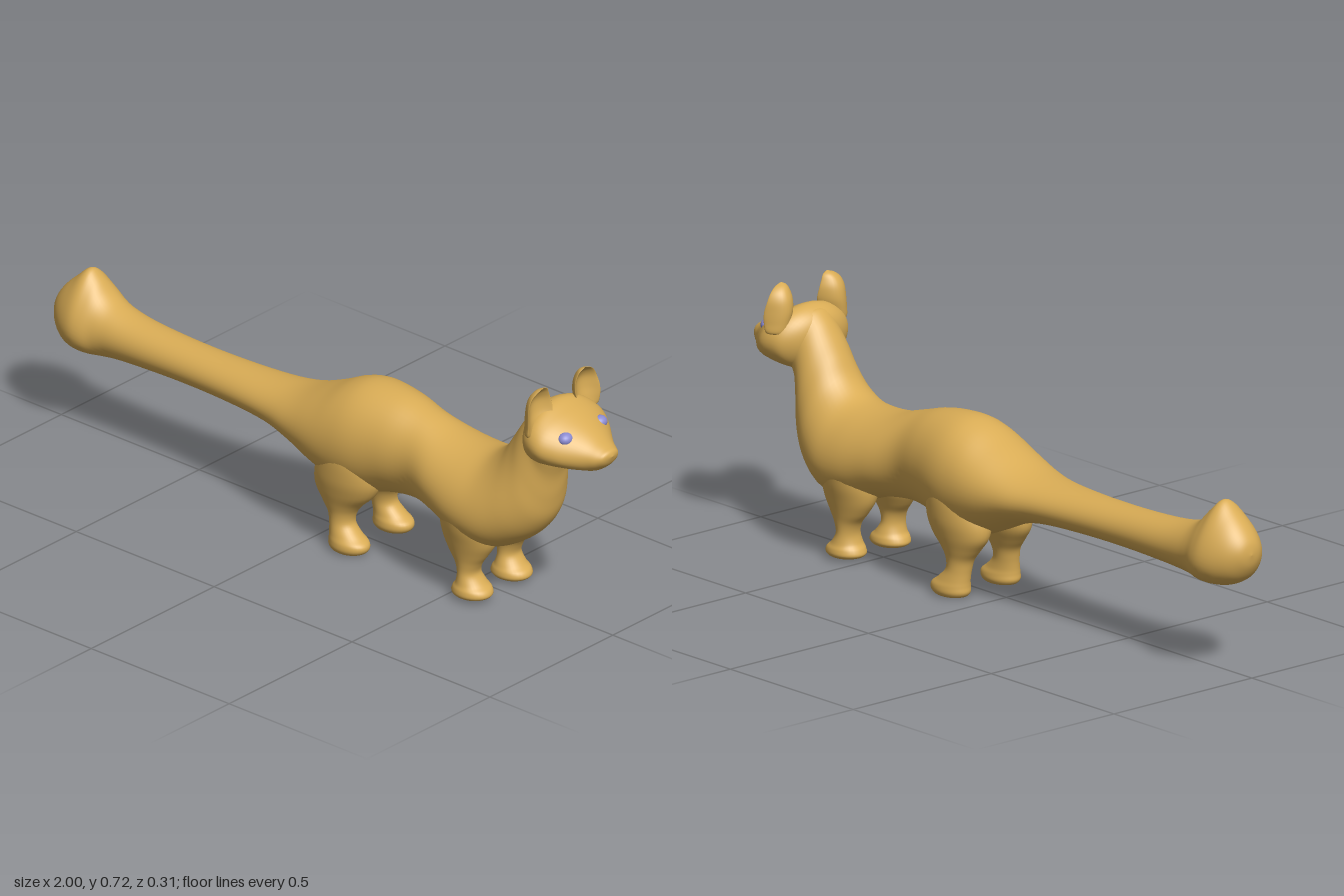
import * as THREE from 'three';

const fur = new THREE.MeshStandardMaterial({ color: 0xd9ac55 });
const eyeBlue = new THREE.MeshStandardMaterial({ color: 0x8c8cd2 });

// Catmull-Rom blend of table rows, column by column
function rowAt(rows, t) {
  const f = t * (rows.length - 1), i = Math.min(Math.floor(f), rows.length - 2), u = f - i;
  const at = k => rows[Math.max(0, Math.min(rows.length - 1, k))];
  return rows[0].map((_, c) => {
    const [a, b, d, e] = [at(i - 1)[c], at(i)[c], at(i + 1)[c], at(i + 2)[c]];
    return b + 0.5 * u * (d - a + u * (2 * a - 5 * b + 4 * d - e + u * (3 * (b - d) + e - a)));
  });
}

// Smooth closed skin through cross-sections; ring(row, cos, sin) gives a point
function loft(name, rows, ring, sides = 40, perRow = 5) {
  const n = (rows.length - 1) * perRow, pos = [], index = [];
  for (let i = 0; i <= n; i++) {
    const row = rowAt(rows, i / n);
    for (let j = 0; j < sides; j++) {
      const a = (j / sides) * Math.PI * 2;
      pos.push(...ring(row, Math.cos(a), Math.sin(a)));
    }
  }
  for (let i = 0; i < n; i++) for (let j = 0; j < sides; j++) {
    const k = (j + 1) % sides, a = i * sides + j, b = i * sides + k;
    index.push(a, b, b + sides, a, b + sides, a + sides);
  }
  // Turn faces outward according to the signed volume
  let volume = 0;
  const p = k => new THREE.Vector3().fromArray(pos, k * 3);
  for (let k = 0; k < index.length; k += 3)
    volume += p(index[k]).dot(p(index[k + 1]).cross(p(index[k + 2])));
  if (volume < 0) index.reverse();
  const geo = new THREE.BufferGeometry();
  geo.setAttribute('position', new THREE.Float32BufferAttribute(pos, 3));
  geo.setIndex(index);
  geo.computeVertexNormals();
  const mesh = new THREE.Mesh(geo, fur);
  mesh.name = name;
  return mesh;
}

// Section across the spine: top x, top y, bottom x, bottom y, half width, taper to the top
const spineRing = ([tx, ty, bx, by, w, p], c, s) => [
  (tx + bx) / 2 + c * (tx - bx) / 2,
  (ty + by) / 2 + c * (ty - by) / 2,
  Math.max(w, 0) * s * (1 - p * c),
];

const tailRows = [
  [-1, .35, -1, .35, 0, 0],
  [-.992, .385, -.992, .313, .035, 0],
  [-.967, .42, -.967, .275, .066, .1],
  [-.93, .455, -.93, .254, .088, .25],
  [-.892, .485, -.89, .247, .096, .4],
  [-.86, .462, -.85, .247, .094, .35],
  [-.82, .42, -.81, .249, .084, .1],
  [-.77, .398, -.77, .253, .077, 0],
  [-.68, .384, -.68, .259, .072, 0],
  [-.52, .376, -.52, .264, .07, 0],
  [-.35, .375, -.35, .264, .078, 0],
  [-.2, .38, -.2, .258, .096, 0],
];
const torsoRows = [
  [-.1, .396, -.1, .238, .12, 0],
  [0, .436, 0, .195, .142, 0],
  [.08, .475, .08, .165, .149, 0],
  [.15, .49, .16, .168, .146, 0],
  [.25, .482, .25, .193, .127, 0],
  [.34, .457, .34, .202, .114, 0],
  [.43, .432, .44, .192, .137, .05],
  [.52, .425, .53, .165, .152, .1],
  [.59, .436, .63, .162, .15, .15],
  [.642, .475, .715, .21, .13, .15],
  [.677, .53, .768, .275, .108, .1],
  [.708, .578, .786, .345, .094, 0],
  [.74, .62, .795, .415, .084, 0],
  [.775, .645, .815, .485, .08, 0],
  [.8, .6, .81, .54, 0, 0],
];
const headRows = [
  [.735, .56, .735, .55, 0, 0],
  [.745, .615, .755, .505, .07, 0],
  [.77, .645, .785, .478, .118, .03],
  [.805, .656, .815, .476, .137, .03],
  [.845, .64, .85, .484, .139, .05],
  [.88, .622, .888, .486, .118, .08],
  [.915, .602, .92, .487, .09, .08],
  [.95, .58, .95, .49, .063, 0],
  [.978, .566, .972, .502, .046, 0],
  [.994, .558, .99, .52, .03, 0],
  [1, .544, 1, .544, 0, 0],
];

// Leg sections: height, centre x, half length, centre z, half width
const frontLegRows = [
  [.01, .562, 0, .08, 0],
  [.01, .562, .04, .08, .035],
  [.02, .562, .06, .08, .051],
  [.036, .562, .057, .08, .051],
  [.052, .558, .042, .08, .044],
  [.08, .552, .031, .082, .036],
  [.11, .552, .04, .082, .037],
  [.14, .55, .062, .079, .045],
  [.18, .55, .085, .075, .058],
  [.23, .55, .092, .074, .071],
  [.29, .55, .08, .074, .076],
  [.34, .55, .045, .07, .055],
  [.36, .55, 0, .07, 0],
];
const hindLegRows = [
  [.004, .122, 0, .09, 0],
  [.004, .122, .045, .09, .034],
  [.016, .124, .062, .09, .046],
  [.034, .124, .062, .09, .046],
  [.052, .112, .05, .089, .04],
  [.08, .097, .038, .086, .035],
  [.11, .094, .043, .083, .037],
  [.14, .093, .064, .08, .046],
  [.18, .1, .098, .076, .06],
  [.23, .11, .108, .073, .071],
  [.3, .12, .09, .07, .072],
  [.35, .12, .05, .065, .055],
  [.37, .12, 0, .065, 0],
];
// Ear sections: height, back x, half thickness, centre z, half width, forward cup
const earRows = [
  [.59, .8, 0, .105, 0, 0],
  [.592, .8, .014, .107, .034, .015],
  [.62, .795, .014, .102, .044, .028],
  [.65, .79, .011, .096, .049, .034],
  [.68, .791, .008, .094, .044, .028],
  [.702, .8, .007, .092, .034, .019],
  [.717, .813, .006, .087, .02, .009],
  [.725, .825, 0, .083, 0, 0],
];

export function createModel() {
  const model = new THREE.Group();
  model.name = 'longTailedAnimal';
  model.add(loft('bodyAndTail', [...tailRows, ...torsoRows], spineRing, 48));
  model.add(loft('head', headRows, spineRing, 48));

  for (const [side, label] of [[1, 'right'], [-1, 'left']]) {
    const legRing = ([y, x, rx, z, rz], c, s) => [x + rx * c, y, side * (z + rz * s)];
    model.add(loft(label + 'FrontLeg', frontLegRows, legRing, 32));
    model.add(loft(label + 'HindLeg', hindLegRows, legRing, 32));

    // Cupped ear, its rims curling forward
    const earRing = ([y, x, t, z, w, cup], c, s) => [x + t * s + cup * c * c, y, side * (z + w * c)];
    model.add(loft(label + 'Ear', earRows, earRing, 32));

    const eye = new THREE.Mesh(new THREE.SphereGeometry(1, 24, 16), eyeBlue);
    eye.name = label + 'Eye';
    eye.scale.set(.02, .018, .023);
    eye.position.set(.89, .587, side * .07);
    model.add(eye);
  }
  return model;
}
